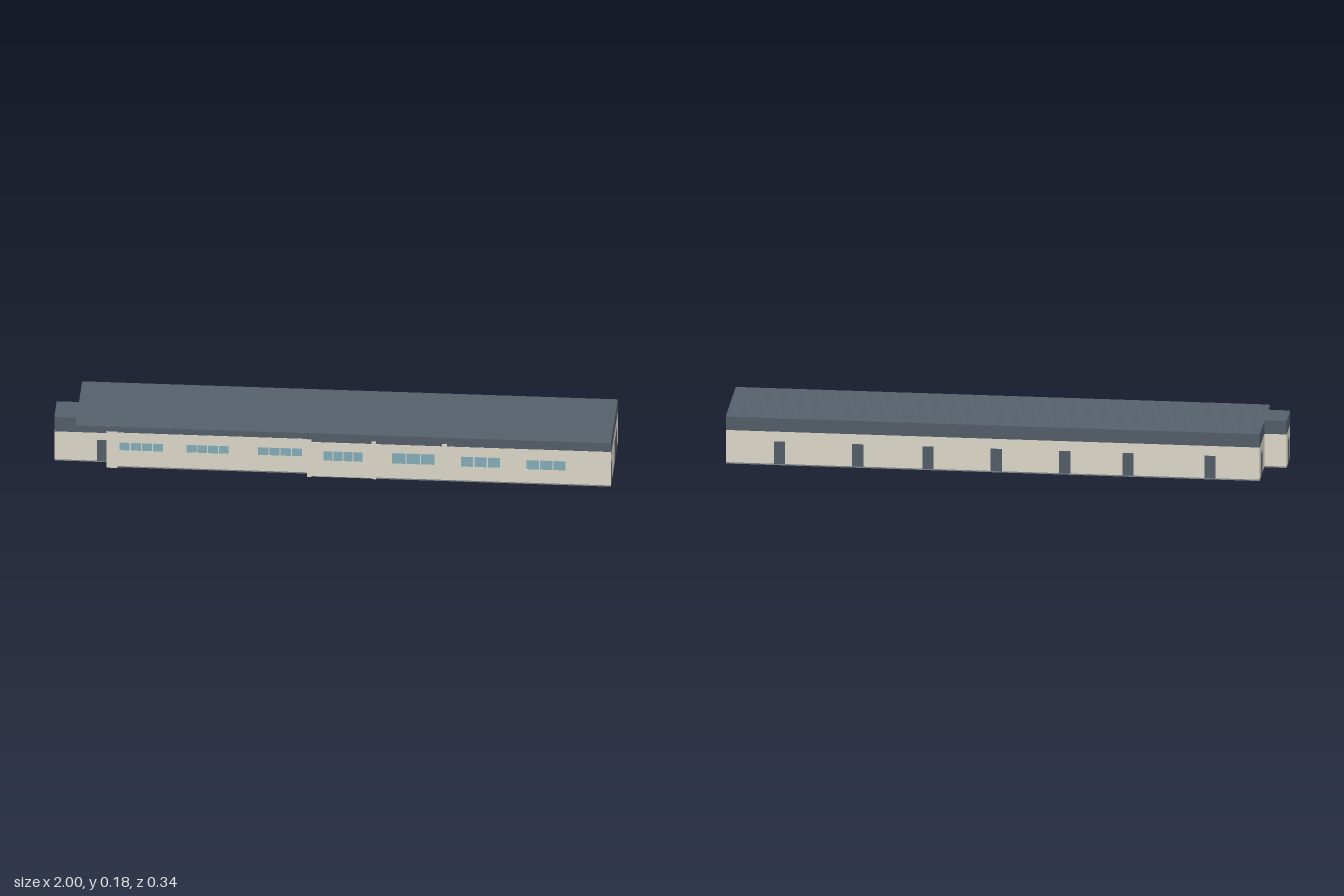
import * as THREE from 'three';

const mat = (name, color) => {
  const m = new THREE.MeshStandardMaterial({ color });
  m.name = name;
  return m;
};

export function createModel() {
  const wall = mat('cream wall', 0xdfdacb);
  const slate = mat('slate cladding', 0x545f69);
  const glass = mat('window glass', 0x86afba);
  const concrete = mat('floor concrete', 0x808689);

  const model = new THREE.Group();
  model.name = 'longBuilding';

  const add = (name, geometry, material, parent = model) => {
    const mesh = new THREE.Mesh(geometry, material);
    mesh.name = name;
    parent.add(mesh);
    return mesh;
  };
  // Box given by its limits on each axis
  const block = (name, material, x0, x1, y0, y1, z0, z1, parent) => {
    const g = new THREE.BoxGeometry(x1 - x0, y1 - y0, z1 - z0);
    g.translate((x0 + x1) / 2, (y0 + y1) / 2, (z0 + z1) / 2);
    return add(name, g, material, parent);
  };

  // Footprint (x, z): long hall with a set-back front section, annex and porch corner
  const footprint = [[-0.92, -0.17], [1, -0.17], [1, 0.168], [-0.09, 0.168], [-0.09, 0.146],
    [-0.8, 0.146], [-0.8, 0.11], [-1, 0.11], [-1, -0.01], [-0.92, -0.01]];
  const storey = (name, material, y0, y1) => {
    const shape = new THREE.Shape(footprint.map(([x, z]) => new THREE.Vector2(x, -z)));
    const g = new THREE.ExtrudeGeometry(shape, { depth: y1 - y0, bevelEnabled: false });
    g.rotateX(-Math.PI / 2);
    g.translate(0, y0, 0);
    add(name, g, material);
  };
  storey('floorSlab', concrete, 0, 0.005);
  storey('walls', wall, 0.005, 0.126);
  storey('fascia', slate, 0.126, 0.175);

  // The front wall rises a little higher than the others
  block('frontWallTop', wall, -0.09, 1, 0.126, 0.14, 0.166, 0.169);
  block('setBackWallTop', wall, -0.8, -0.09, 0.126, 0.14, 0.144, 0.147);
  block('annexFascia', slate, -1, -0.8, 0.118, 0.126, 0.108, 0.111);

  // Overhanging eave above the porch and the set-back wall
  block('frontEave', slate, -0.92, -0.085, 0.157, 0.175, 0.109, 0.171);

  // Corrugated roof sheets with ribs running along x
  const ribbedRoof = (name, x0, x1, z0, z1, ribs) => {
    const low = 0.1762, high = 0.178, pitch = (z1 - z0) / ribs;
    const shape = new THREE.Shape();
    shape.moveTo(-z0, 0.1745);
    for (let i = 0; i < ribs; i++) {
      const z = z0 + i * pitch;
      shape.lineTo(-z, low);
      shape.lineTo(-(z + pitch * 0.45), low);
      shape.lineTo(-(z + pitch * 0.55), high);
      shape.lineTo(-(z + pitch * 0.9), high);
    }
    shape.lineTo(-z1, low);
    shape.lineTo(-z1, 0.1745);
    const g = new THREE.ExtrudeGeometry(shape, { depth: x1 - x0, bevelEnabled: false });
    g.rotateY(Math.PI / 2);
    g.translate(x0, 0, 0);
    add(name, g, slate);
  };
  ribbedRoof('hallRoof', -0.92, 1, -0.17, 0.17, 20);
  ribbedRoof('annexRoof', -1, -0.92, -0.01, 0.11, 7);

  // Central projecting bay and front piers
  block('centralBay', wall, -0.09, 0.15, 0.004, 0.14, 0.166, 0.171);
  block('porchPier', wall, -0.81, -0.77, 0, 0.153, 0.13, 0.152);
  [-0.082, 0.15].forEach((x) => block('frontPier', wall, x - 0.008, x + 0.008, 0, 0.15, 0.165, 0.172));
  block('pierCap', wall, 0.394, 0.412, 0.138, 0.15, 0.165, 0.1705);

  // Window rows: x start, x end, sill height, head height, panes, wall face z
  [
    [-0.765, -0.605, 0.07, 0.1, 4, 0.146],
    [-0.525, -0.37, 0.07, 0.1, 4, 0.146],
    [-0.268, -0.107, 0.07, 0.1, 4, 0.146],
    [-0.032, 0.112, 0.069, 0.106, 4, 0.171],
    [0.214, 0.37, 0.065, 0.106, 3, 0.168],
    [0.46, 0.605, 0.062, 0.101, 3, 0.168],
    [0.696, 0.84, 0.06, 0.096, 3, 0.168],
  ].forEach(([x0, x1, y0, y1, n, z]) => {
    const row = new THREE.Group();
    row.name = 'windowRow';
    model.add(row);
    const step = (x1 - x0) / n;
    for (let i = 0; i < n; i++) {
      block('windowPane', glass, x0 + i * step + 0.002, x0 + (i + 1) * step - 0.002, y0, y1, z - 0.002, z + 0.0015, row);
    }
    block('windowSill', wall, x0 - 0.003, x1 + 0.003, y0 - 0.004, y0, z - 0.002, z + 0.002, row);
  });

  // Doors as thin plates; the axis says which way the plate faces
  const door = (axis, along, face, width = 0.04) => {
    const a = along - width / 2, b = along + width / 2;
    const f0 = face - 0.0015, f1 = face + 0.0015;
    if (axis === 'x') block('door', slate, f0, f1, 0.005, 0.089, a, b);
    else block('door', slate, a, b, 0.005, 0.089, f0, f1);
  };
  [0.807, 0.525, 0.273, 0.027, -0.219, -0.447, -0.741].forEach((x) => door('z', x, -0.17));
  [0.138, -0.039, -0.1].forEach((z) => door('x', z, 0.9995, 0.042));
  door('x', -0.11, -0.92);
  door('x', 0.06, -0.9995);
  door('z', -0.828, 0.11, 0.036);

  return model;
}
